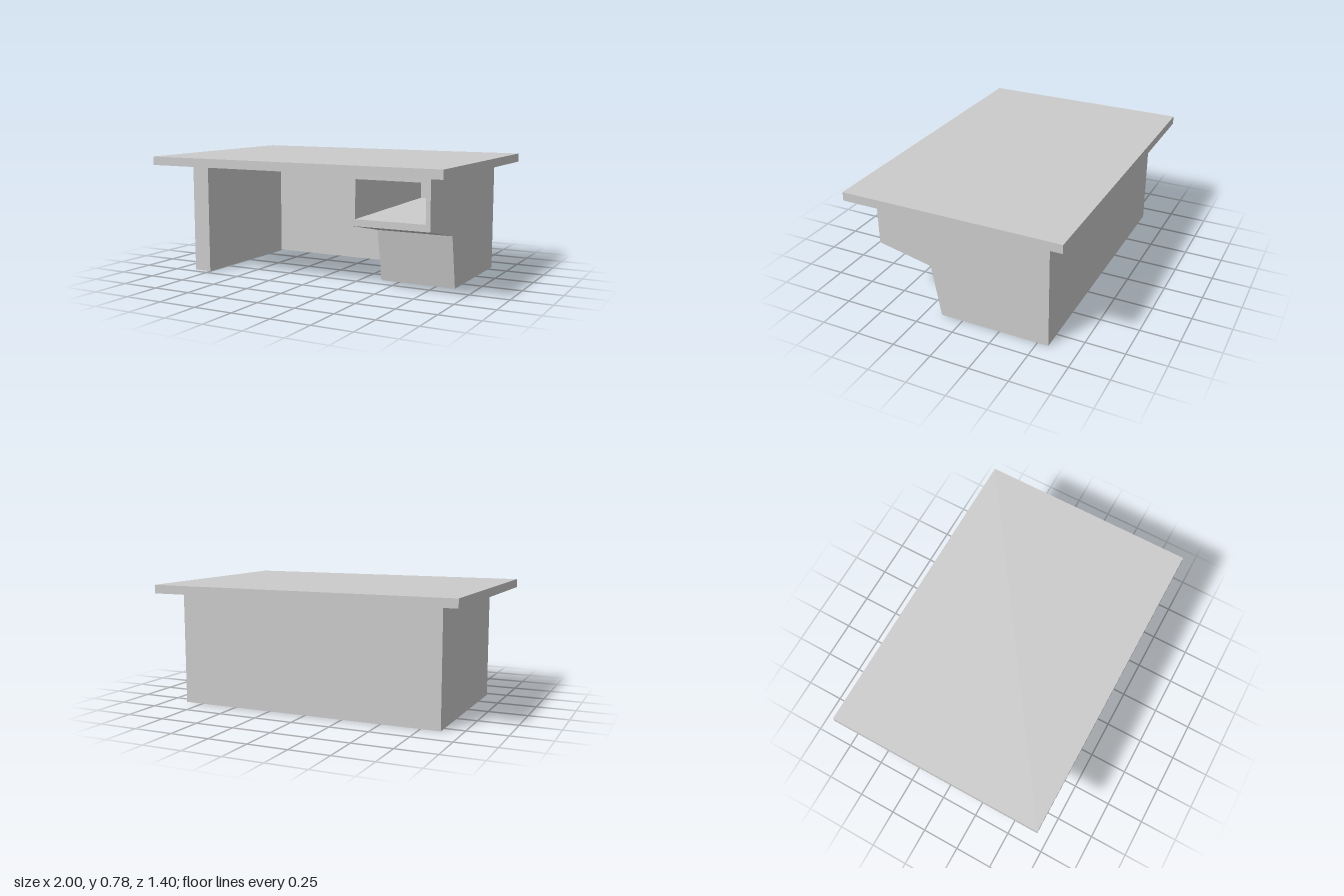
import * as THREE from 'three';

const material = new THREE.MeshStandardMaterial({ color: 0xcccccc, flatShading: true });

function add(group, name, geometry) {
  const mesh = new THREE.Mesh(geometry, material);
  mesh.name = name;
  group.add(mesh);
}

// Box given by its extents on each axis
function block(x0, x1, y0, y1, z0, z1) {
  return new THREE.BoxGeometry(x1 - x0, y1 - y0, z1 - z0)
    .translate((x0 + x1) / 2, (y0 + y1) / 2, (z0 + z1) / 2);
}

// Side profile of [z, y] points, extruded across x
function sideProfile(points, x0, x1) {
  const shape = new THREE.Shape(points.map(([z, y]) => new THREE.Vector2(z, y)));
  return new THREE.ExtrudeGeometry(shape, { depth: x1 - x0, bevelEnabled: false })
    .rotateY(-Math.PI / 2).translate(x1, 0, 0);
}

// Closed skin through rectangular rings [x0, x1, y0, y1, z]
function rectLoft(rings) {
  const corners = rings.map(([x0, x1, y0, y1, z]) =>
    [[x0, y0, z], [x1, y0, z], [x1, y1, z], [x0, y1, z]]);
  const positions = [];
  const quad = (a, b, c, d) => positions.push(...a, ...b, ...c, ...a, ...c, ...d);
  for (let i = 0; i < corners.length - 1; i++) {
    const a = corners[i], b = corners[i + 1];
    for (let j = 0; j < 4; j++) {
      const k = (j + 1) % 4;
      quad(a[j], a[k], b[k], b[j]);
    }
  }
  quad(...corners[0].slice().reverse());
  quad(...corners[corners.length - 1]);
  const geometry = new THREE.BufferGeometry();
  geometry.setAttribute('position', new THREE.Float32BufferAttribute(positions, 3));
  geometry.computeVertexNormals();
  return geometry;
}

export function createModel() {
  const desk = new THREE.Group();
  desk.name = 'desk';
  const W = 0.873, P = 0.375, TOP = 0.725, SHELF = 0.41, BACK = -0.57;

  // Main slabs
  add(desk, 'tabletop', block(-1, 1, TOP, 0.78, -0.7, 0.7));
  add(desk, 'rightLegPanel', block(-W, -0.752, 0, TOP, BACK, 0.455));
  add(desk, 'backPanel', block(-0.752, P, 0, TOP, BACK, -0.435));

  // Pedestal: open compartment with a tapering cavity over a hollow base
  const pedestal = new THREE.Group();
  pedestal.name = 'pedestal';
  desk.add(pedestal);
  add(pedestal, 'openCompartment', rectLoft([
    [P, W, SHELF, TOP, BACK],
    [P, W, SHELF, TOP, 0.56],
    [0.4, 0.845, 0.452, 0.688, 0.56],
    [0.4, 0.76, 0.47, 0.668, -0.43],
  ]));
  add(pedestal, 'outerBaseWall', block(0.752, W, 0, SHELF, BACK, 0.143));
  add(pedestal, 'innerBaseWall', block(P, 0.49, 0, SHELF, BACK, 0.143));
  add(pedestal, 'rearBaseWall', block(0.49, 0.752, 0, SHELF, BACK, -0.5));

  // Sloping underside and leaning front of the base
  add(pedestal, 'baseFront', sideProfile(
    [[0.143, 0], [0.145, 0], [0.205, 0.335], [0.56, SHELF], [0.143, SHELF]], P, W));

  return desk;
}
